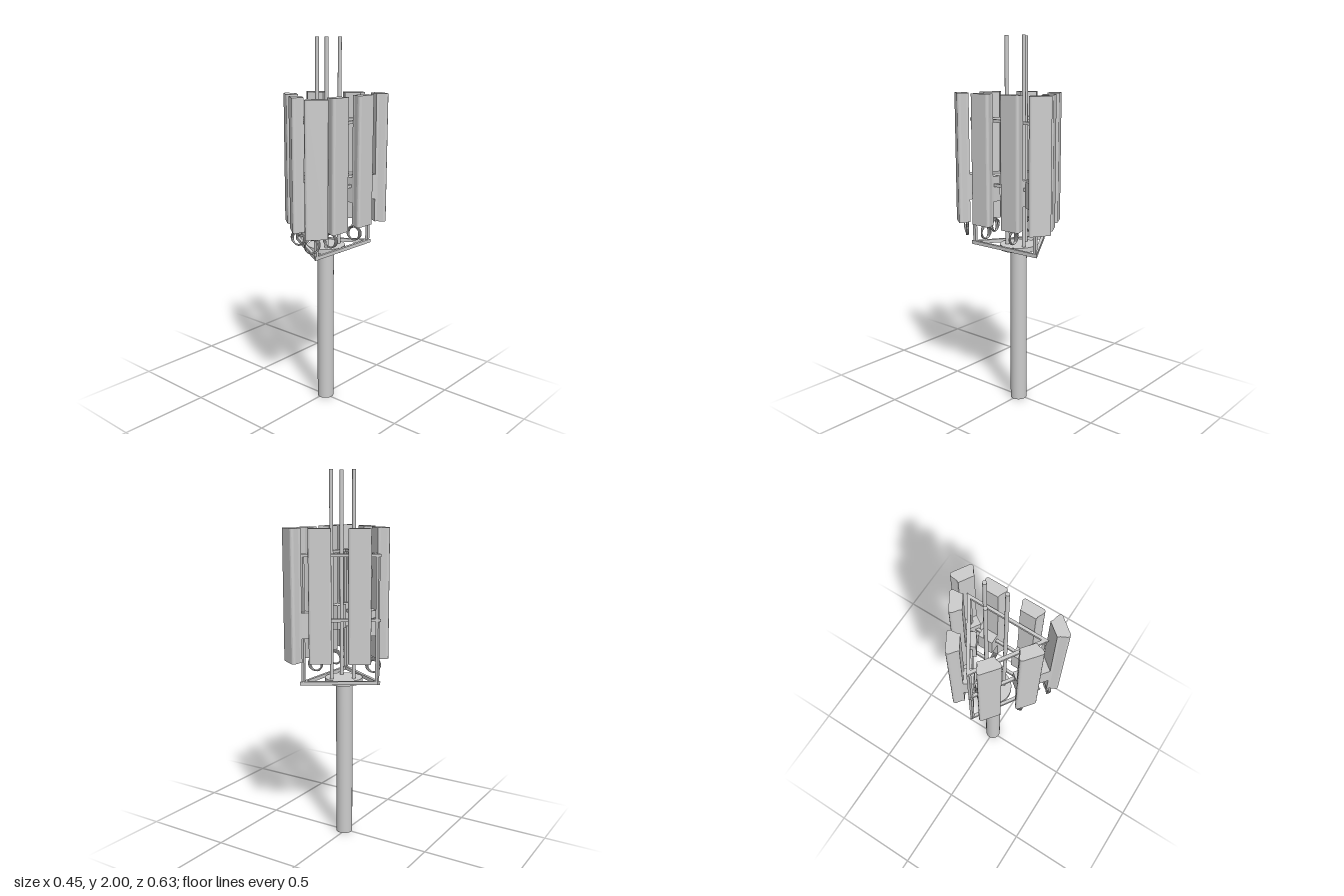
import * as THREE from 'three';

const material = new THREE.MeshStandardMaterial({ color: 0xcccccc });

function add(parent, name, geometry, x = 0, y = 0, z = 0) {
  const mesh = new THREE.Mesh(geometry, material);
  mesh.name = name;
  mesh.position.set(x, y, z);
  parent.add(mesh);
  return mesh;
}

// Upright cylinder between two heights
function column(parent, name, r, y0, y1, x, z, sides) {
  return add(parent, name, new THREE.CylinderGeometry(r, r, y1 - y0, sides), x, (y0 + y1) / 2, z);
}

// Prism from a plan shape (shape y becomes z) between two heights
function prism(parent, name, shape, y0, y1) {
  const geometry = new THREE.ExtrudeGeometry(shape, { depth: y1 - y0, bevelEnabled: false, curveSegments: 6 });
  geometry.rotateX(Math.PI / 2);
  return add(parent, name, geometry, 0, y1, 0);
}

// Triangular platform plan
const centre = [0.019, -0.005];
const corners = [[0.138, -0.235], [0.138, 0.225], [-0.218, -0.005]];
const inset = (k) => corners.map(([x, z]) =>
  new THREE.Vector2(centre[0] + (x - centre[0]) * k, centre[1] + (z - centre[1]) * k));

// Panel plan: narrow at the back, flared and rounded at the outer face
function panelShape() {
  const s = new THREE.Shape();
  s.moveTo(0, -0.042);
  s.lineTo(0.014, -0.044);
  s.lineTo(0.044, -0.058);
  s.quadraticCurveTo(0.06, -0.062, 0.063, -0.048);
  s.lineTo(0.063, 0.048);
  s.quadraticCurveTo(0.06, 0.062, 0.044, 0.058);
  s.lineTo(0.014, 0.044);
  s.lineTo(0, 0.042);
  s.closePath();
  return s;
}

export function createModel() {
  const model = new THREE.Group();
  model.name = 'antennaTower';

  // Mast, deck and whip aerials
  column(model, 'mast', 0.045, 0, 0.885, 0.008, -0.003, 32);
  column(model, 'deck', 0.102, 0.876, 0.903, 0.01, -0.005, 48);
  for (const [x, z] of [[0.045, -0.07], [-0.052, -0.003], [0.052, 0.04]]) {
    column(model, 'whipAerial', 0.01, 0.9, 2, x, z, 16);
  }

  // Three triangular frames joined by corner posts
  for (const [y0, y1] of [[0.889, 0.908], [1.227, 1.243], [1.563, 1.579]]) {
    const shape = new THREE.Shape(inset(1));
    shape.holes.push(new THREE.Path(inset(0.866)));
    prism(model, 'triangleFrame', shape, y0, y1);
  }
  for (const p of inset(0.92)) {
    add(model, 'cornerPost', new THREE.BoxGeometry(0.016, 0.685, 0.016), p.x, 1.234, p.y);
  }

  // Panel antennas: x, z of the back face and the outward direction
  const panels = [
    [0.142, -0.104, 1, 0], [0.142, 0.099, 1, 0],
    [-0.139, -0.086, -0.5, -0.86], [0.037, -0.187, -0.5, -0.86],
    [0.142, -0.236, 0.52, -0.855], [0.143, 0.235, 0.79, 0.615],
    [0.013, 0.18, -0.62, 0.78], [-0.145, 0.054, -0.62, 0.78],
  ];
  for (const [x, z, dx, dz] of panels) {
    const antenna = new THREE.Group();
    antenna.name = 'panelAntenna';
    antenna.position.set(x, 0, z);
    antenna.rotation.y = -Math.atan2(dz, dx);
    prism(antenna, 'panel', panelShape(), 1.02, 1.71);
    add(antenna, 'radioUnit', new THREE.BoxGeometry(0.056, 0.135, 0.084), -0.026, 1.213, 0);
    model.add(antenna);
  }

  // Coiled cables hanging below the panels: x, z, turn
  const coils = [
    [0.143, 0.255, 0.85], [-0.013, 0.19, 0.3], [0.143, 0.115, 0.12],
    [-0.143, 0.05, 0.25], [0.143, -0.08, 0.2],
  ];
  for (const [x, z, turn] of coils) {
    const coil = new THREE.Group();
    coil.name = 'cableCoil';
    coil.position.set(x, 0.975, z);
    coil.rotation.y = turn;
    for (let i = -1; i <= 1; i++) {
      const loop = add(coil, 'cableLoop', new THREE.TorusGeometry(0.037 + 0.002 * i, 0.004, 8, 32), 0.002 * i, 0.003 * i, 0.003 * i);
      loop.rotation.set(0.12 * i, 0.18 * i, 0);
    }
    model.add(coil);
  }

  return model;
}
